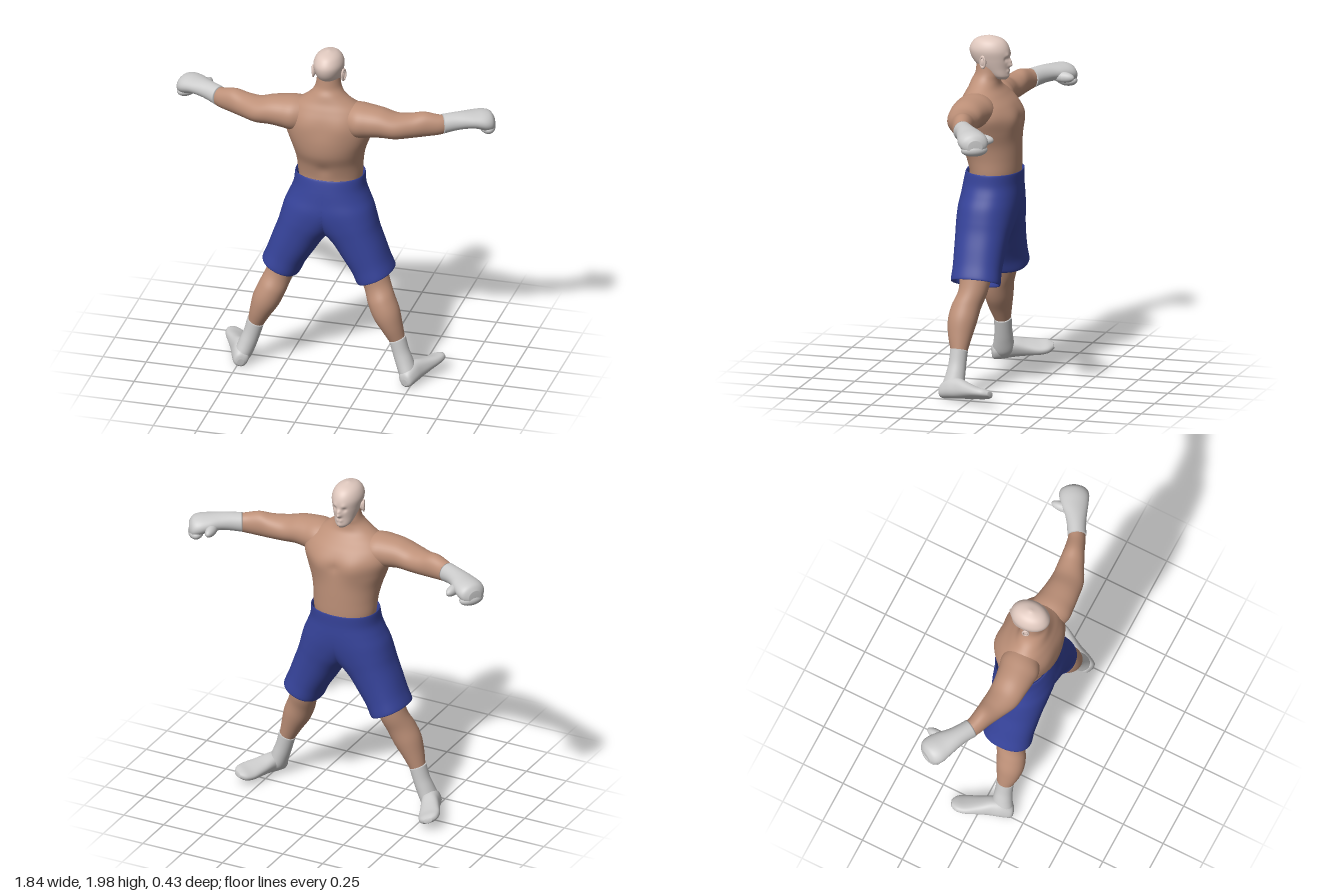
import * as THREE from 'three';
import { mergeGeometries, mergeVertices } from 'three/addons/utils/BufferGeometryUtils.js';

const paint = (color) => new THREE.MeshStandardMaterial({ color });

// Smooth value of column k at parameter t along the rows
function along(rows, t, k) {
  const n = rows.length - 1;
  const i = Math.min(Math.floor(t * n), n - 1), f = t * n - i;
  const at = (j) => rows[Math.max(0, Math.min(n, j))][k] ?? 0;
  const a = at(i - 1), b = at(i), c = at(i + 1), d = at(i + 2);
  return b + 0.5 * f * (c - a + f * (2 * a - 5 * b + 4 * c - d + f * (3 * (b - c) + d - a)));
}

// Skin over oval rings; row = [x, y, z, radiusA, radiusB, turn].
// axis y: ring lies flat and rolls about z; axis x: ring stands and yaws about y; axis z: ring faces z
function loft(rows, axis, { seg = 40, steps = 6, square = 1, half = false } = {}) {
  const pos = [], idx = [], rings = (rows.length - 1) * steps;
  const power = (v) => Math.sign(v) * Math.abs(v) ** square;
  const put = (x, y, z) => pos.push(half ? Math.max(0, x) : x, y, z);
  for (let i = 0; i <= rings; i++) {
    const [x, y, z, a, b, turn] = [0, 1, 2, 3, 4, 5].map((k) => along(rows, i / rings, k));
    const c = Math.cos(turn), s = Math.sin(turn);
    for (let j = 0; j < seg; j++) {
      const w = (j / seg) * Math.PI * 2;
      const u = Math.max(a, 0.002) * power(Math.cos(w)), v = Math.max(b, 0.002) * power(Math.sin(w));
      if (axis === 'y') put(x + u * c, y + u * s, z + v);
      else if (axis === 'x') put(x + u * s, y + v, z + u * c);
      else put(x + u, y + v, z);
    }
  }
  for (let i = 0; i < rings; i++)
    for (let j = 0; j < seg; j++) {
      const k = (j + 1) % seg, p = i * seg + j, q = i * seg + k;
      idx.push(p, p + seg, q, q, p + seg, q + seg);
    }
  const first = rows[0], last = rows[rows.length - 1], c0 = pos.length / 3;
  put(first[0], first[1], first[2]);
  put(last[0], last[1], last[2]);
  for (let j = 0; j < seg; j++) {
    const k = (j + 1) % seg;
    idx.push(c0, j, k, c0 + 1, rings * seg + k, rings * seg + j);
  }
  // Turn all faces outward by the sign of the volume
  const P = (i) => new THREE.Vector3().fromArray(pos, i * 3);
  let volume = 0;
  for (let i = 0; i < idx.length; i += 3) volume += P(idx[i]).dot(P(idx[i + 1]).cross(P(idx[i + 2])));
  if (volume < 0) idx.reverse();
  // Half bodies stay open on the middle plane
  const keep = [];
  for (let i = 0; i < idx.length; i += 3) {
    const f = idx.slice(i, i + 3);
    if (!half || f.some((v) => pos[v * 3] > 1e-5)) keep.push(...f);
  }
  const geo = new THREE.BufferGeometry();
  geo.setAttribute('position', new THREE.Float32BufferAttribute(pos, 3));
  geo.setIndex(keep);
  geo.computeVertexNormals();
  return geo;
}

// Push the surface softly around a spot, on both sides of the body
function bump(geo, x, y, z, r, dz) {
  const p = geo.attributes.position;
  for (let i = 0; i < p.count; i++) {
    const d2 = (Math.abs(p.getX(i)) - x) ** 2 + (p.getY(i) - y) ** 2 + (p.getZ(i) - z) ** 2;
    p.setZ(i, p.getZ(i) + dz * Math.exp(-d2 / (r * r)));
  }
  geo.computeVertexNormals();
}

function mirrored(geo) {
  const m = geo.clone().scale(-1, 1, 1);
  m.setIndex([...geo.index.array].reverse());
  m.computeVertexNormals();
  return m;
}

// Oval ball, yawed about y
const ball = (x, y, z, a, b, c, yaw = 0) =>
  new THREE.SphereGeometry(1, 28, 20).scale(a, b, c).rotateY(yaw).translate(x, y, z);

export function createModel() {
  const model = new THREE.Group();
  const skin = paint(0xbd9078), pale = paint(0xdfc8be), blue = paint(0x36439a), grey = paint(0xcccccc);
  const add = (name, geo, mat) => {
    const mesh = new THREE.Mesh(geo, mat);
    mesh.name = name;
    model.add(mesh);
  };
  const pair = (name, geo, mat) => {
    add('left' + name, mirrored(geo), mat);
    add('right' + name, geo, mat);
  };

  // Torso and neck; the body faces -z
  const torso = loft([
    [0, 1.19, 0.008, 0.175, 0.14], [0, 1.24, 0.005, 0.184, 0.143], [0, 1.32, 0.015, 0.19, 0.155],
    [0, 1.4, 0.032, 0.206, 0.172], [0, 1.48, 0.038, 0.235, 0.176], [0, 1.56, 0.037, 0.258, 0.17],
    [0, 1.62, 0.045, 0.245, 0.15], [0, 1.67, 0.058, 0.205, 0.117], [0, 1.71, 0.065, 0.145, 0.09],
    [0, 1.75, 0.062, 0.096, 0.078], [0, 1.79, 0.05, 0.073, 0.07], [0, 1.85, 0.05, 0.064, 0.064],
  ], 'y', { seg: 64 });
  bump(torso, 0.1, 1.53, -0.11, 0.07, -0.014); // chest
  bump(torso, 0, 1.53, -0.13, 0.025, 0.008);
  bump(torso, 0, 1.3, 0.17, 0.04, -0.008); // hollow of the back
  bump(torso, 0.11, 1.58, 0.19, 0.07, 0.008); // shoulder blades
  add('torso', torso, skin);

  // Head with modelled face
  const head = loft([
    [0, 1.755, -0.03, 0.022, 0.028], [0, 1.775, -0.018, 0.045, 0.05], [0, 1.82, 0.013, 0.063, 0.083],
    [0, 1.87, 0.032, 0.077, 0.108], [0, 1.92, 0.04, 0.085, 0.115], [0, 1.96, 0.041, 0.073, 0.098],
    [0, 1.985, 0.042, 0.048, 0.066], [0, 2.0, 0.042, 0.006, 0.008],
  ], 'y', { seg: 96, steps: 10 });
  for (const [x, y, z, r, dz] of [
    [0, 1.838, -0.071, 0.014, -0.022], [0, 1.86, -0.077, 0.012, -0.012], // nose
    [0.03, 1.874, -0.068, 0.014, 0.009], [0.028, 1.896, -0.07, 0.015, -0.005], // eyes, brows
    [0.009, 1.804, -0.066, 0.011, -0.007], [0, 1.775, -0.064, 0.018, -0.006], // lips, chin
  ]) bump(head, x, y, z, r, dz);
  add('head', head, pale);
  const rim = new THREE.TorusGeometry(0.02, 0.006, 10, 28).scale(0.85, 1.5, 1)
    .rotateY(Math.PI / 2 - 0.35).translate(0.089, 1.863, 0.054);
  pair('Ear', mergeGeometries([rim, ball(0.083, 1.861, 0.052, 0.01, 0.028, 0.017, 0.3)]), pale);

  // Arms
  pair('Arm', loft([
    [0.1, 1.6, 0.06, 0.09, 0.09, 0], [0.18, 1.603, 0.07, 0.115, 0.1, 0], [0.25, 1.607, 0.076, 0.107, 0.092, 0],
    [0.32, 1.607, 0.078, 0.098, 0.083, 0.03], [0.4, 1.595, 0.072, 0.09, 0.073, 0.12], [0.48, 1.597, 0.048, 0.073, 0.07, 0.28],
    [0.55, 1.605, 0.028, 0.06, 0.072, 0.42], [0.62, 1.602, 0.008, 0.051, 0.06, 0.5], [0.66, 1.602, -0.01, 0.045, 0.052, 0.5],
  ], 'x'), skin);

  // Gloves: cuff and back of hand, curled fingers, thumb
  const glove = loft([
    [0.645, 1.604, -0.002, 0.053, 0.056, 0.5], [0.7, 1.611, -0.033, 0.054, 0.052, 0.5], [0.75, 1.614, -0.062, 0.062, 0.049, 0.5],
    [0.8, 1.611, -0.095, 0.076, 0.049, 0.5], [0.85, 1.6, -0.125, 0.084, 0.057, 0.5], [0.882, 1.59, -0.145, 0.072, 0.055, 0.5],
    [0.9, 1.58, -0.155, 0.04, 0.036, 0.5],
  ], 'x');
  const parts = [ball(0.866, 1.557, -0.138, 0.044, 0.037, 0.076, 0.5), ball(0.762, 1.592, -0.15, 0.029, 0.031, 0.068, 0.1)];
  for (const g of [glove, ...parts]) g.deleteAttribute('uv');
  pair('Glove', mergeGeometries([glove, ...parts]), grey);

  // Shorts: one half with lining at waist and hem, mirrored and welded
  const half = loft([
    [0, 1.2, 0.006, 0.178, 0.138, 0], [0, 1.232, 0.007, 0.19, 0.149, 0], [0, 1.235, 0.008, 0.197, 0.157, 0],
    [0, 1.17, 0.016, 0.204, 0.163, 0], [0.01, 1.1, 0.021, 0.217, 0.168, 0.05], [0.045, 1.03, 0.028, 0.208, 0.169, 0.12],
    [0.105, 0.95, 0.033, 0.17, 0.16, 0.22], [0.155, 0.88, 0.036, 0.14, 0.15, 0.32], [0.203, 0.79, 0.038, 0.126, 0.142, 0.4],
    [0.243, 0.71, 0.038, 0.115, 0.138, 0.42], [0.272, 0.645, 0.038, 0.113, 0.14, 0.42], [0.272, 0.647, 0.038, 0.104, 0.131, 0.42],
    [0.25, 0.7, 0.038, 0.1, 0.126, 0.42],
  ], 'y', { seg: 72, square: 0.9, half: true });
  const shorts = mergeGeometries([half, mirrored(half)]);
  shorts.deleteAttribute('normal');
  const welded = mergeVertices(shorts, 1e-5);
  welded.computeVertexNormals();
  add('shorts', welded, blue);

  // Lower legs
  pair('Leg', loft([
    [0.225, 0.76, 0.04, 0.09, 0.1, 0.4], [0.278, 0.6, 0.05, 0.077, 0.082, 0.4], [0.313, 0.51, 0.08, 0.079, 0.083, 0.4],
    [0.348, 0.43, 0.093, 0.078, 0.081, 0.4], [0.382, 0.35, 0.096, 0.061, 0.066, 0.4], [0.412, 0.27, 0.092, 0.044, 0.045, 0.4],
  ], 'y'), skin);

  // Socks and feet, soles square to the spread legs
  pair('Sock', loft([
    [0.41, 0.282, 0.092, 0.05, 0.05, 0.4], [0.43, 0.21, 0.095, 0.048, 0.05, 0.4],
    [0.452, 0.15, 0.1, 0.05, 0.055, 0.4], [0.478, 0.085, 0.108, 0.05, 0.062, 0.4], [0.495, 0.05, 0.115, 0.04, 0.05, 0.4],
  ], 'y'), grey);
  const foot = loft([
    [0, 0.035, 0.05, 0.018, 0.02], [0, 0.045, 0.035, 0.04, 0.043], [0, 0.058, -0.02, 0.05, 0.058],
    [0, 0.056, -0.08, 0.05, 0.056], [0, 0.042, -0.15, 0.056, 0.042], [0, 0.03, -0.22, 0.062, 0.031],
    [0, 0.026, -0.27, 0.052, 0.025], [0, 0.024, -0.3, 0.022, 0.014],
  ], 'z', { square: 0.85 });
  foot.rotateY(-0.38).rotateZ(0.4).translate(0.505, 0.025, 0.13);
  pair('Foot', foot, grey);

  return model;
}
